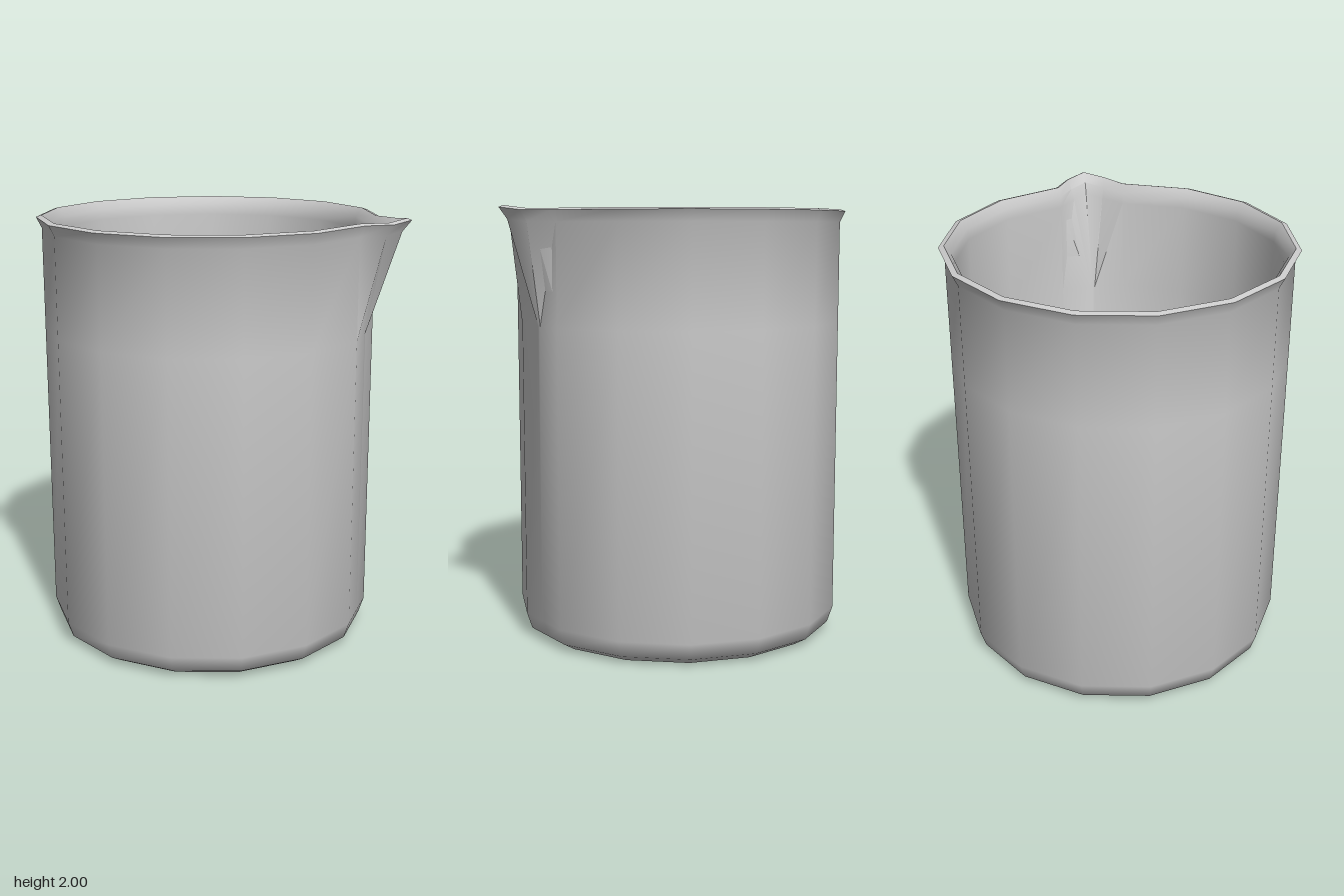
import * as THREE from 'three';
import { toCreasedNormals } from 'three/addons/utils/BufferGeometryUtils.js';

const SIDES = 15, START = THREE.MathUtils.degToRad(-10), STEP = 2 * Math.PI / SIDES;
const CENTRE_X = -0.08;
const SPOUT_LOW = 1.47, SPOUT_HIGH = 1.93;

// Wall section [radius, height]: up the outside, over the lip, down the inside
const PROFILE = [
  [0.68, 0], [0.74, 0.035], [0.765, 0.11], [0.765, SPOUT_LOW], [0.765, SPOUT_HIGH],
  [0.79, 1.98], [0.765, 1.988], [0.735, 1.95], [0.73, 1.9],
  [0.73, SPOUT_LOW], [0.73, 0.13], [0.715, 0.07], [0.67, 0.04],
];

// Columns inside the spout facet: sideways spread and outward pull
const SPOUT = [[-0.25, 0.1], [0, 0.153], [0.25, 0.1]];

// One horizontal ring of the wall, with the spout pulled out of the first facet
function ring(r, y) {
  const corner = (k) => new THREE.Vector3(
    CENTRE_X + r * Math.cos(START + k * STEP), y, r * Math.sin(START + k * STEP));
  const t = Math.max(0, (y - SPOUT_LOW) / (SPOUT_HIGH - SPOUT_LOW));
  const points = [corner(0)];
  for (const [spread, pull] of SPOUT) {
    const p = corner(0).lerp(corner(1), 0.5 + spread * Math.max(t, 0.12));
    p.x += pull * t;
    if (spread === 0) p.y += 0.011 * t;
    points.push(p);
  }
  for (let k = 1; k < SIDES; k++) points.push(corner(k));
  return points;
}

function wallGeometry() {
  const rings = PROFILE.map(([r, y]) => ring(r, y));
  const n = rings[0].length, index = [];
  for (let i = 0; i < rings.length - 1; i++) {
    for (let j = 0; j < n; j++) {
      const a = i * n + j, b = i * n + (j + 1) % n;
      index.push(a, a + n, b, b, a + n, b + n);
    }
  }
  const geometry = new THREE.BufferGeometry().setFromPoints(rings.flat());
  geometry.setIndex(index);
  return toCreasedNormals(geometry, 0.8);
}

// Flat disc that meets the wall corners, facing up (1) or down (-1)
function disc(r, y, facing) {
  const geometry = new THREE.CircleGeometry(r, SIDES, -START * facing);
  geometry.rotateX(-facing * Math.PI / 2);
  geometry.translate(CENTRE_X, y, 0);
  return geometry;
}

export function createModel() {
  const group = new THREE.Group();
  group.name = 'beaker';
  const material = new THREE.MeshStandardMaterial({ color: 0xcccccc, side: THREE.DoubleSide });
  const add = (name, geometry) => {
    const mesh = new THREE.Mesh(geometry, material);
    mesh.name = name;
    group.add(mesh);
  };
  add('wallWithSpout', wallGeometry());
  add('base', disc(PROFILE[0][0], 0, -1));
  const [floorRadius, floorHeight] = PROFILE[PROFILE.length - 1];
  add('innerFloor', disc(floorRadius, floorHeight, 1));
  return group;
}
